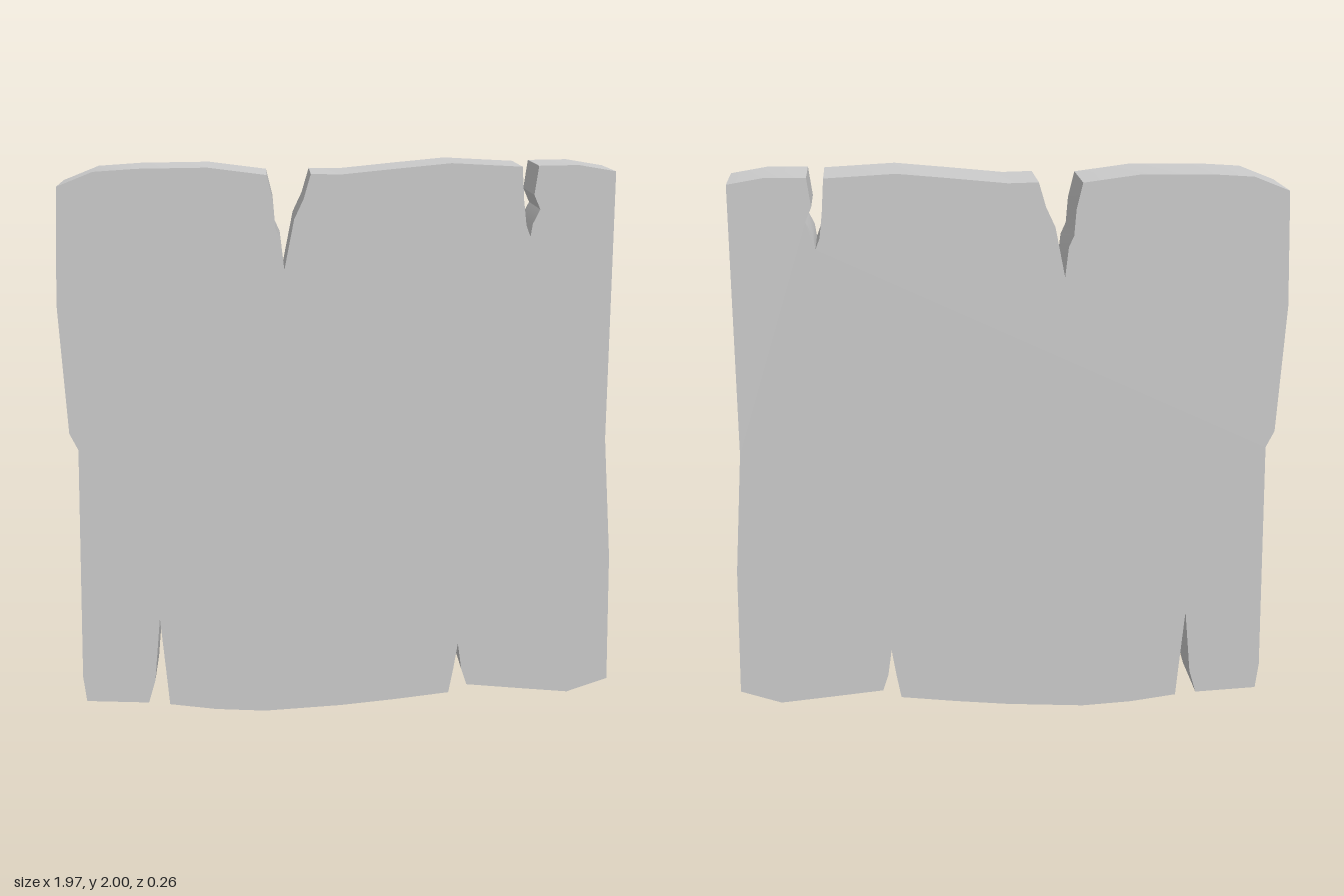
import * as THREE from 'three';
import { toCreasedNormals } from 'three/addons/utils/BufferGeometryUtils.js';

const THICKNESS = 0.26;

// Worn outline of the plank, counter-clockwise, one list per edge
const bottomEdge = [
  [-0.93, 0.055], [-0.705, 0.045],
  [-0.68, 0.13], [-0.658, 0.37], [-0.638, 0.15], [-0.628, 0.037], // left split
  [-0.46, 0.015], [-0.28, 0.005], [0, 0.022], [0.2, 0.042], [0.395, 0.065],
  [0.412, 0.155], [0.428, 0.255], [0.442, 0.155], [0.462, 0.095], // right split
  [0.65, 0.077], [0.835, 0.06],
];
const rightEdge = [[0.982, 0.11], [0.975, 0.58], [0.945, 1.02], [0.95, 1.97]];
const topEdge = [
  [0.82, 1.992], [0.682, 1.99],
  [0.668, 1.89], [0.69, 1.84], [0.665, 1.79], [0.658, 1.745], // ragged split
  [0.643, 1.785], [0.633, 1.87], [0.625, 1.987],
  [0.38, 2], [0.2, 1.983], [0, 1.963], [-0.105, 1.965],
  [-0.13, 1.88], [-0.163, 1.81], [-0.198, 1.635], // wide split
  [-0.21, 1.74], [-0.228, 1.78], [-0.235, 1.87], [-0.257, 1.962],
  [-0.46, 1.988], [-0.7, 1.985], [-0.85, 1.975],
];
const leftEdge = [
  [-0.975, 1.925], [-0.988, 1.52], [-0.96, 1.06],
  [-0.93, 1.0], [-0.937, 0.5], [-0.942, 0.15],
];

export function createModel() {
  const group = new THREE.Group();
  group.name = 'crackedSlab';

  const outline = [...bottomEdge, ...rightEdge, ...topEdge, ...leftEdge]
    .map(([x, y]) => new THREE.Vector2(x, y));
  const geometry = new THREE.ExtrudeGeometry(new THREE.Shape(outline), {
    depth: THICKNESS, bevelEnabled: false,
  });
  geometry.translate(0, 0, -THICKNESS / 2);

  // Gentle bends along the rim shade smoothly, corners stay sharp
  const slab = new THREE.Mesh(
    toCreasedNormals(geometry, 0.45),
    new THREE.MeshStandardMaterial({ color: 0xcccccc }),
  );
  slab.name = 'slab';
  group.add(slab);
  return group;
}
